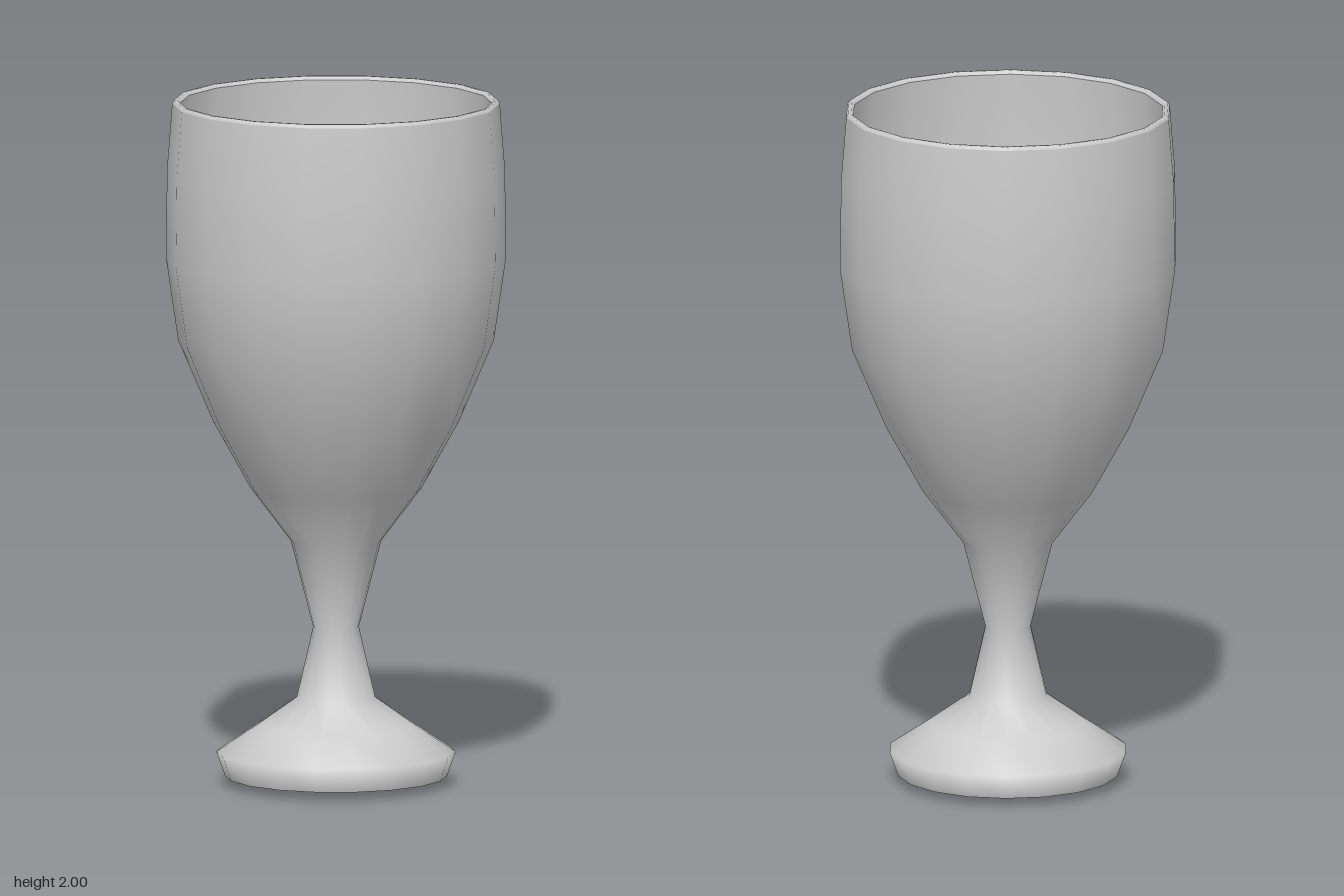
import * as THREE from 'three';

const SIDES = 18;

export function createModel() {
  const goblet = new THREE.Group();
  goblet.name = 'goblet';
  const material = new THREE.MeshStandardMaterial({ color: 0xcccccc });

  // Each part is a turned profile of [radius, height] pairs
  const turn = (name, profile) => {
    const points = profile.map(([r, y]) => new THREE.Vector2(r, y));
    const mesh = new THREE.Mesh(new THREE.LatheGeometry(points, SIDES), material);
    mesh.name = name;
    goblet.add(mesh);
  };

  // Shallow cone closing the foot from below
  turn('footUnderside', [[0, 0.005], [0.32, 0.03]]);

  // Foot, stem and outer bowl wall in one smooth sweep
  turn('outerWall', [
    [0.32, 0.03], [0.345, 0.1], [0.225, 0.18], [0.113, 0.26],
    [0.066, 0.465], [0.13, 0.715], [0.247, 0.87], [0.355, 1.065],
    [0.455, 1.3], [0.49, 1.54], [0.487, 1.8], [0.472, 1.99],
  ]);

  // Narrow rounded lip
  turn('rim', [[0.472, 1.99], [0.467, 2], [0.458, 2], [0.451, 1.99]]);

  // Hollow inside of the bowl, running down from the lip
  turn('innerWall', [
    [0.451, 1.99], [0.46, 1.8], [0.46, 1.55], [0.425, 1.32],
    [0.325, 1.09], [0.215, 0.9], [0.1, 0.79], [0, 0.76],
  ]);

  return goblet;
}
